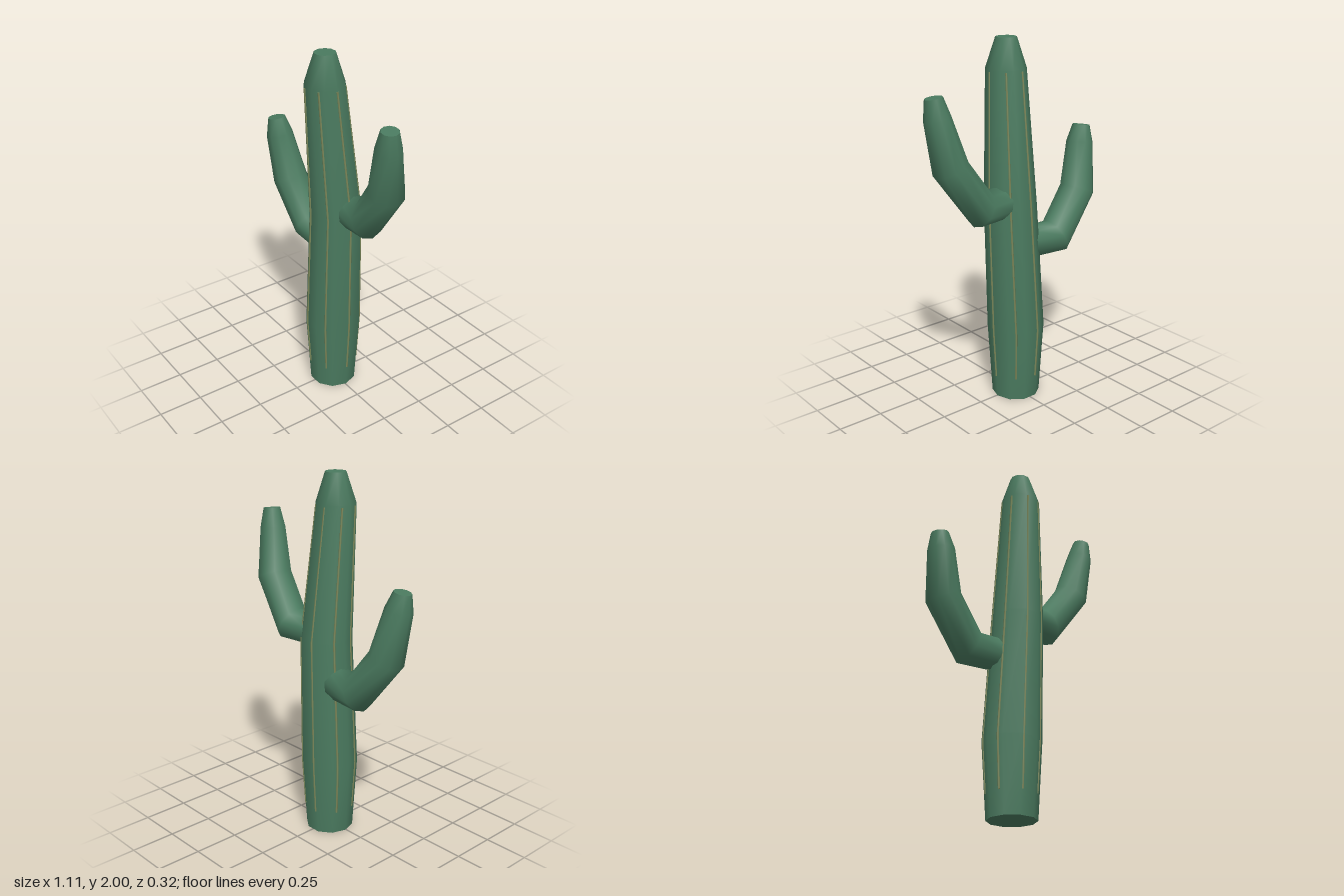
import * as THREE from 'three';

const SIDES = 10;

// Sweeps a polygon through sections [x, y, z, radius]; smooth sides, flat end caps.
function sweep(sections, sides, level = false) {
  const pts = sections.map(s => new THREE.Vector3(s[0], s[1], s[2]));
  const n = pts.length;
  const pos = [], idx = [];
  const rings = pts.map((p, i) => {
    const t = new THREE.Vector3(0, 1, 0);
    if (!level) {
      t.set(0, 0, 0);
      if (i > 0) t.add(p.clone().sub(pts[i - 1]).normalize());
      if (i < n - 1) t.add(pts[i + 1].clone().sub(p).normalize());
      t.normalize();
    }
    const u = new THREE.Vector3(0, 0, 1).addScaledVector(t, -t.z).normalize();
    const v = t.clone().cross(u);
    return Array.from({ length: sides }, (_, j) => {
      const a = (j / sides) * Math.PI * 2;
      return p.clone()
        .addScaledVector(v, Math.cos(a) * sections[i][3])
        .addScaledVector(u, Math.sin(a) * sections[i][3]);
    });
  });
  const push = p => pos.push(p.x, p.y, p.z) / 3 - 1;

  rings.forEach(ring => ring.forEach(push));
  for (let i = 0; i < n - 1; i++) {
    for (let j = 0; j < sides; j++) {
      const k = (j + 1) % sides;
      const a = i * sides + j, b = i * sides + k;
      idx.push(a, a + sides, b, b, a + sides, b + sides);
    }
  }
  // End caps with their own vertices
  [0, n - 1].forEach((r, end) => {
    const c = push(pts[r]);
    rings[r].forEach(push);
    for (let j = 0; j < sides; j++) {
      const a = c + 1 + j, b = c + 1 + (j + 1) % sides;
      if (end) idx.push(c, b, a); else idx.push(c, a, b);
    }
  });

  const g = new THREE.BufferGeometry();
  g.setAttribute('position', new THREE.Float32BufferAttribute(pos, 3));
  g.setIndex(idx);
  g.computeVertexNormals();
  return g;
}

export function createModel() {
  const group = new THREE.Group();
  const skin = new THREE.MeshStandardMaterial({ color: 0x4a7a5f });
  skin.name = 'cactusGreen';
  const ribColor = new THREE.MeshStandardMaterial({ color: 0x7d8a5c });
  ribColor.name = 'ribOlive';

  const add = (name, geometry, material, parent = group) => {
    const mesh = new THREE.Mesh(geometry, material);
    mesh.name = name;
    parent.add(mesh);
  };

  // Gently bent trunk
  const trunk = [
    [0, 0, -0.004, 0.132],
    [0, 0.41, -0.004, 0.157],
    [0.031, 1.12, 0.003, 0.142],
    [0.015, 1.84, 0.057, 0.108],
    [0.015, 2, 0.055, 0.056],
  ];
  add('trunk', sweep(trunk, SIDES, true), skin);

  // Upturned arms
  add('leftArm', sweep([
    [0.1, 1.15, -0.02, 0.09],
    [0.26, 1.15, -0.037, 0.102],
    [0.433, 1.39, -0.017, 0.097],
    [0.481, 1.645, 0.017, 0.071],
    [0.495, 1.75, 0.024, 0.047],
  ], SIDES), skin);
  add('rightArm', sweep([
    [-0.08, 0.886, -0.02, 0.09],
    [-0.256, 0.887, -0.037, 0.102],
    [-0.436, 1.12, -0.017, 0.097],
    [-0.481, 1.38, 0.017, 0.074],
    [-0.497, 1.473, 0.024, 0.048],
  ], SIDES), skin);

  // Seven thin ribs lying on the trunk surface
  const ribs = new THREE.Group();
  ribs.name = 'ribs';
  group.add(ribs);
  const half = Math.PI / SIDES;
  const foot = [0, 0.13, -0.004, 0.14];
  for (let k = 0; k < 7; k++) {
    const a = (k / 7) * Math.PI * 2;
    const flat = Math.cos(half) / Math.cos((a % (2 * half)) - half);
    const path = [foot, trunk[1], trunk[2], trunk[3]].map(([x, y, z, r]) => [
      x + Math.cos(a) * r * flat,
      Math.min(y, 1.83),
      z + Math.sin(a) * r * flat,
      0.006,
    ]);
    add('rib' + (k + 1), sweep(path, 5), ribColor, ribs);
  }
  return group;
}
